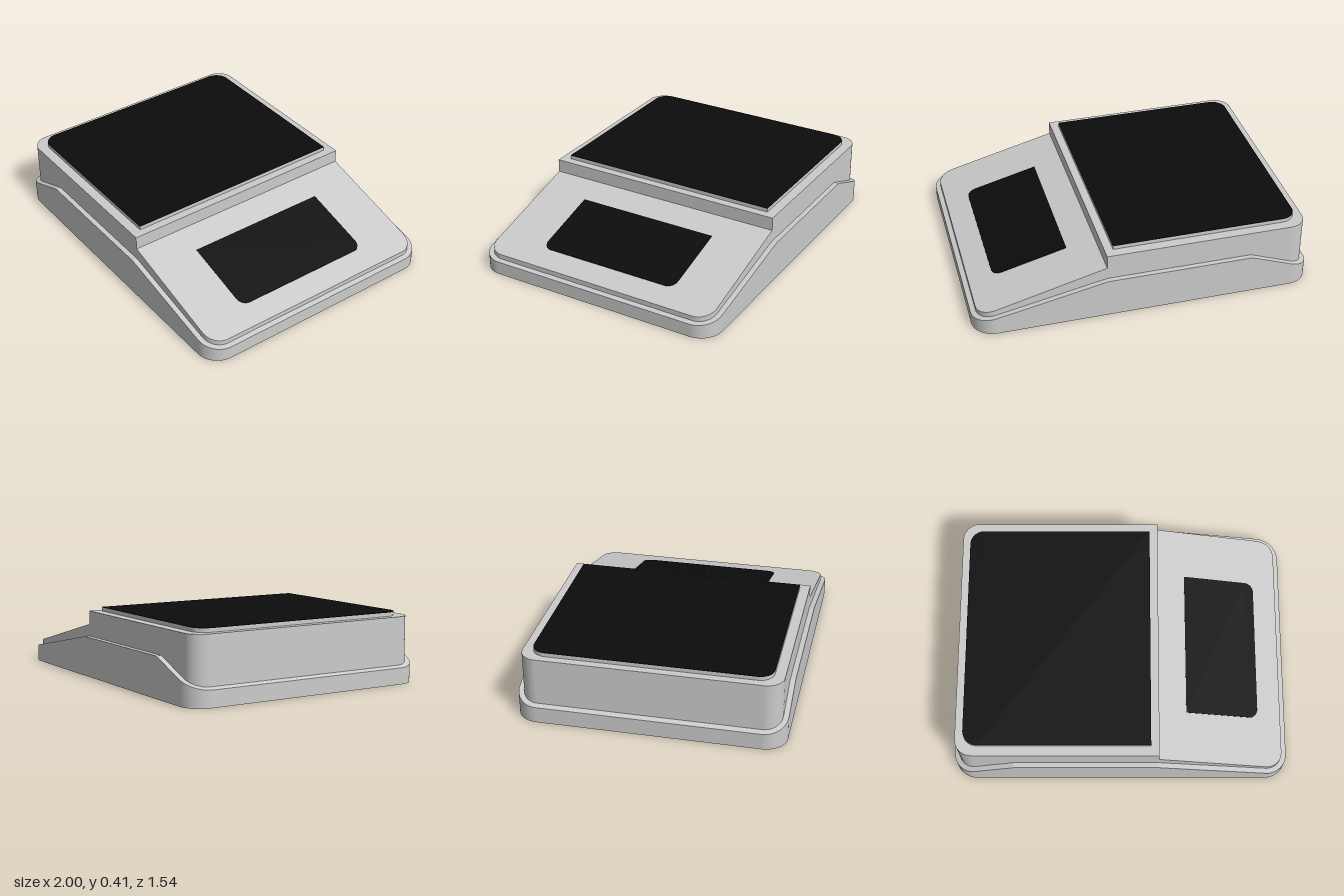
import * as THREE from 'three';

const grey = new THREE.MeshStandardMaterial({ color: 0xcccccc });
const black = new THREE.MeshStandardMaterial({ color: 0x0c0c0c });

// Slab symmetric in z. profile: rows of [x, bottomY, topY] from left to right,
// depth: half depth in z, rL / rR: corner radii of the plan at the -x / +x end.
function slab(name, material, profile, depth, rL, rR) {
  const x0 = profile[0][0], x1 = profile[profile.length - 1][0], steps = 12;

  // Stations along x: profile breaks plus the points of the corner arcs
  const xs = profile.map(p => p[0]);
  for (let i = 1; i <= steps; i++) {
    const t = 1 - Math.cos((i / steps) * Math.PI / 2);
    if (rL) xs.push(x0 + rL * t);
    if (rR) xs.push(x1 - rR * t);
  }
  xs.sort((a, b) => a - b);

  const stations = xs.filter((x, i) => i === 0 || x - xs[i - 1] > 1e-5).map(x => {
    let k = 0;
    while (k < profile.length - 2 && x > profile[k + 1][0]) k++;
    const [p, q] = [profile[k], profile[k + 1]];
    const f = (x - p[0]) / (q[0] - p[0]);
    let nx = 0, r = 0;
    if (x - x0 < rL) { r = rL; nx = (x - x0) / rL - 1; }
    else if (x1 - x < rR) { r = rR; nx = 1 - (x1 - x) / rR; }
    const nz = Math.sqrt(Math.max(0, 1 - nx * nx));
    return { x, nx, nz, w: depth - r + r * nz,
      lo: p[1] + f * (q[1] - p[1]), hi: p[2] + f * (q[2] - p[2]) };
  });

  const pos = [], nor = [];
  const quad = (pts, normals) => [0, 1, 2, 0, 2, 3].forEach(i => {
    pos.push(...pts[i]);
    nor.push(...normals[i]);
  });
  const flat = n => [n, n, n, n];

  for (let i = 0; i < stations.length - 1; i++) {
    const a = stations[i], b = stations[i + 1];
    // Top and bottom
    const up = new THREE.Vector3(a.hi - b.hi, b.x - a.x, 0).normalize().toArray();
    const down = new THREE.Vector3(b.lo - a.lo, a.x - b.x, 0).normalize().toArray();
    quad([[a.x, a.hi, a.w], [b.x, b.hi, b.w], [b.x, b.hi, -b.w], [a.x, a.hi, -a.w]], flat(up));
    quad([[a.x, a.lo, -a.w], [b.x, b.lo, -b.w], [b.x, b.lo, b.w], [a.x, a.lo, a.w]], flat(down));
    // Front and back walls
    for (const s of [1, -1]) {
      const [p, q] = s > 0 ? [a, b] : [b, a];
      const np = [p.nx, 0, s * p.nz], nq = [q.nx, 0, s * q.nz];
      quad([[p.x, p.lo, s * p.w], [q.x, q.lo, s * q.w], [q.x, q.hi, s * q.w], [p.x, p.hi, s * p.w]],
        [np, nq, nq, np]);
    }
  }
  // End walls
  for (const [e, s] of [[stations[0], -1], [stations[stations.length - 1], 1]]) {
    const w = s * e.w;
    quad([[e.x, e.lo, w], [e.x, e.lo, -w], [e.x, e.hi, -w], [e.x, e.hi, w]], flat([s, 0, 0]));
  }

  const geometry = new THREE.BufferGeometry();
  geometry.setAttribute('position', new THREE.Float32BufferAttribute(pos, 3));
  geometry.setAttribute('normal', new THREE.Float32BufferAttribute(nor, 3));
  const mesh = new THREE.Mesh(geometry, material);
  mesh.name = name;
  return mesh;
}

export function createModel() {
  const model = new THREE.Group();
  model.name = 'counterDevice';

  // Height of the sloping panel at x
  const slope = x => 0.31 - (x - 0.227) * (0.195 / 0.743);

  model.add(
    // Outer tray with sloping rims
    slab('base', grey, [[-1, 0, 0.097], [-0.63, 0, 0.238], [0.227, 0, 0.238], [1, 0, 0.08]], 0.772, 0.13, 0.13),
    // Raised block and sloping panel
    slab('raisedBody', grey, [[-0.97, 0.03, 0.39], [0.227, 0.03, 0.39]], 0.741, 0.1, 0),
    slab('slopedPanel', grey, [[0.227, 0.03, slope(0.227)], [0.97, 0.03, slope(0.97)]], 0.741, 0, 0.1),
    // Platform with dark top
    slab('platform', grey, [[-0.923, 0.38, 0.412], [0.178, 0.38, 0.412]], 0.682, 0.085, 0),
    slab('platformPad', black, [[-0.923, 0.412, 0.415], [0.178, 0.412, 0.415]], 0.682, 0.085, 0),
    // Display set into the slope
    slab('display', black,
      [0.393, 0.83].map(x => [x, slope(x) - 0.01, slope(x) + 0.003]), 0.44, 0, 0.055),
  );
  return model;
}
